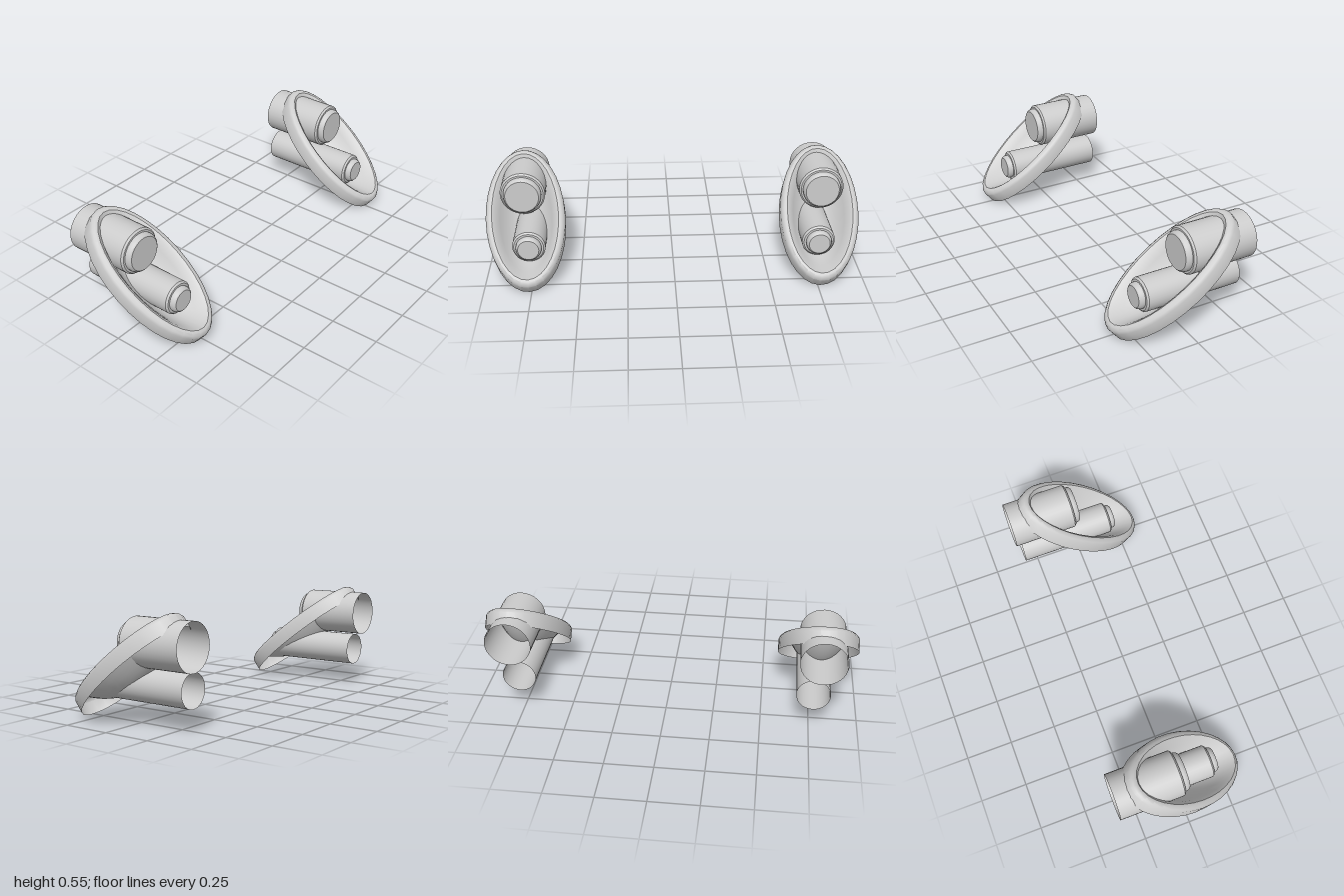
import * as THREE from 'three';
import { toCreasedNormals } from 'three/addons/utils/BufferGeometryUtils.js';

const SEGMENTS = 32;
const HALF_WIDTH = 0.2105, HALF_LENGTH = 0.4; // oval housing
const LIP = 0.052;                            // width of the rim around the dish
const TILT = 0.668, ROLL = 0.07;

const lathe = (points) =>
  new THREE.LatheGeometry(points.map(([r, y]) => new THREE.Vector2(r, y)), SEGMENTS);

// Oval rim with rounded front lip, running into a shallow bowl
function housingGeometry(side) {
  const rim = [[0, 0], [0, 0.066], [0.008, 0.079], [0.02, 0.088], [0.034, 0.089], [LIP, 0.076]];
  const profile = rim.map(([inset, y]) => [HALF_WIDTH - inset, y]);
  const bowlRadius = HALF_WIDTH - LIP;
  for (let i = 1; i <= 8; i++) {
    const r = 1 - i / 8;
    profile.push([bowlRadius * r, 0.076 - 0.148 * (1 - r * r)]);
  }
  const geometry = lathe(profile);
  const p = geometry.attributes.position;
  const stretch = HALF_LENGTH - HALF_WIDTH;
  // Stretch the round form into an oval, keeping the rim width even
  for (let i = 0; i < p.count; i++) {
    const r = Math.max(Math.hypot(p.getX(i), p.getZ(i)), bowlRadius);
    p.setZ(i, p.getZ(i) * (r + stretch) / r);
  }
  geometry.rotateY(-ROLL * side).rotateX(TILT);
  return toCreasedNormals(geometry, 0.6);
}

// Open-backed tube with a bevelled front edge, facing +z
function tubeGeometry(radius, lensRadius, back, front) {
  const geometry = lathe([
    [radius, back], [radius, front - 0.009], [radius - 0.009, front], [lensRadius - 0.005, front],
  ]);
  return toCreasedNormals(geometry.rotateX(Math.PI / 2), 0.6);
}

// Lens with a softly rounded front edge
function lensGeometry(radius, back, front) {
  const geometry = lathe([
    [radius, back], [radius, front - 0.018], [radius - 0.004, front - 0.007],
    [radius - 0.012, front], [0, front],
  ]);
  return toCreasedNormals(geometry.rotateX(Math.PI / 2), 0.6);
}

export function createModel() {
  const model = new THREE.Group();
  model.name = 'lampPair';
  const grey = new THREE.MeshStandardMaterial({ color: 0xcccccc, side: THREE.DoubleSide });
  grey.name = 'light grey';

  const lamps = [
    { name: 'upper', x: 0.802, y: 0.407, radius: 0.12, lens: 0.101, back: -0.36, front: -0.01, tip: 0.021 },
    { name: 'lower', x: 0.764, y: 0.199, radius: 0.087, lens: 0.067, back: -0.328, front: 0.194, tip: 0.224 },
  ];

  for (const side of [1, -1]) {
    const unit = new THREE.Group();
    unit.name = side > 0 ? 'leftLamp' : 'rightLamp';
    const add = (name, geometry, x, y, z) => {
      const mesh = new THREE.Mesh(geometry, grey);
      mesh.name = name;
      mesh.position.set(x * side, y, z);
      unit.add(mesh);
    };
    add('housing', housingGeometry(side), 0.787, 0.251, 0.004);
    for (const l of lamps) {
      add(l.name + 'Tube', tubeGeometry(l.radius, l.lens, l.back, l.front), l.x, l.y, 0);
      add(l.name + 'Lens', lensGeometry(l.lens, l.front - 0.002, l.tip), l.x, l.y, 0);
    }
    model.add(unit);
  }
  return model;
}
